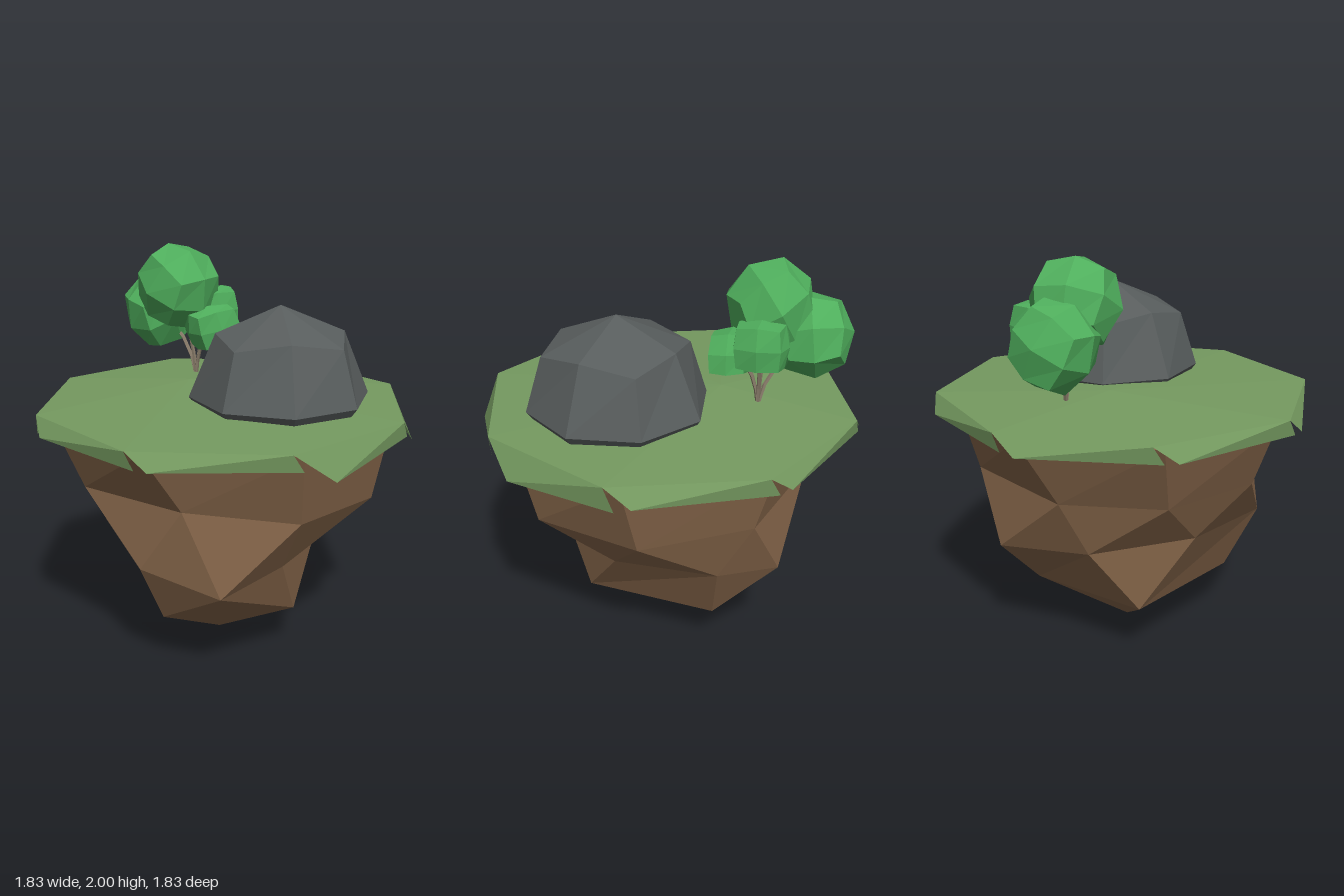
import * as THREE from 'three';

const mat = (color, side = THREE.FrontSide) =>
  new THREE.MeshStandardMaterial({ color, flatShading: true, side });
const EARTH = mat(0x86664a);
const GRASS = mat(0x759a60, THREE.DoubleSide);
const STONE = mat(0x585d5d);
const LEAF = mat(0x4fae5c);
const BARK = mat(0x8a7d6b);

// Builds a flat-shaded mesh from a list of triangles, each three [x, y, z] corners
function facets(name, triangles, material) {
  const geo = new THREE.BufferGeometry();
  geo.setAttribute('position', new THREE.Float32BufferAttribute(triangles.flat(2), 3));
  geo.computeVertexNormals();
  const mesh = new THREE.Mesh(geo, material);
  mesh.name = name;
  return mesh;
}

// Joins rings (top to bottom, corners turning from +x toward +z) and closes both ends
function loft(name, rings, top, bottom, material) {
  const tris = [];
  const n = rings[0].length;
  for (let i = 0; i < n; i++) {
    const j = (i + 1) % n;
    tris.push([top, rings[0][j], rings[0][i]]);
    for (let k = 0; k + 1 < rings.length; k++) {
      const a = rings[k], b = rings[k + 1];
      tris.push([a[i], a[j], b[j]], [a[i], b[j], b[i]]);
    }
    const last = rings[rings.length - 1];
    tris.push([last[i], last[j], bottom]);
  }
  // drop triangles that collapse where ring corners merge
  return facets(name, tris.filter(([a, b, c]) => a !== b && b !== c && a !== c), material);
}

// Hanging rock of earth, narrowing to a four-sided tip
function earth() {
  const rim = [[0.84, 1.24, -0.23], [0.76, 1.24, 0.39], [0.26, 1.24, 0.82], [-0.44, 1.24, 0.73],
    [-0.84, 1.24, 0.2], [-0.76, 1.24, -0.42], [-0.26, 1.24, -0.84], [0.36, 1.24, -0.75]];
  const upper = [[0.72, 0.86, -0.24], [0.7, 0.84, 0.32], [0.28, 0.87, 0.69], [-0.26, 0.94, 0.66],
    [-0.7, 0.91, 0.2], [-0.66, 0.9, -0.3], [-0.29, 0.9, -0.64], [0.35, 0.9, -0.65]];
  const lower = [[0.38, 0.59, -0.48], [0.49, 0.57, 0.03], [0.23, 0.58, 0.51], [-0.09, 0.52, 0.71],
    [-0.45, 0.61, 0.53], [-0.58, 0.66, -0.05], [-0.33, 0.62, -0.5], [0.13, 0.56, -0.69]];
  const a = [0.33, 0.24, 0.29], b = [0.24, 0.25, -0.39];
  const c = [-0.43, 0.29, -0.27], d = [-0.34, 0.29, 0.41];
  const foot = [b, a, a, a, d, c, c, b];
  return loft('earth', [rim, upper, lower, foot], [0, 1.24, 0], [-0.02, 0, 0], EARTH);
}

// Gently raised octagonal lawn with a slanted flap hanging from every edge
function grass() {
  const group = new THREE.Group();
  group.name = 'grass';
  const at = (deg, r, y) => {
    const t = THREE.MathUtils.degToRad(deg);
    return [r * Math.cos(t), y, r * Math.sin(t)];
  };
  const apex = [-0.15, 1.33, -0.22];
  // drops at both ends of each flap, starting at the flap facing +x
  const drops = [[0.115, 0.14], [0.08, 0.15], [0.08, 0.08], [0.08, 0.08],
    [0.08, 0.08], [0.08, 0.09], [0.08, 0.08], [0.09, 0.09]];
  const lawn = [], flaps = [];
  drops.forEach(([d0, d1], i) => {
    const a0 = -12 + i * 45, a1 = a0 + 45;
    const p = at(a0, 0.935, 1.28), q = at(a1, 0.935, 1.28);
    const pl = at(a0 - 3, 0.94, 1.28 - d0);
    const ql = at(a1 - 85 * d1, 0.945, 1.28 - d1); // deeper flaps swing further
    lawn.push([apex, q, p]);
    flaps.push([p, q, ql], [p, ql, pl]);
  });
  group.add(facets('lawn', lawn, GRASS), facets('flaps', flaps, GRASS));
  return group;
}

// Eight-sided boulder
function boulder() {
  const cx = 0.262, cz = 0.13;
  const ring = (y, axisR, diagR, diagY = y) => Array.from({ length: 8 }, (_, i) => {
    const t = i * Math.PI / 4, r = i % 2 ? diagR : axisR;
    return [cx + r * Math.cos(t), i % 2 ? diagY : y, cz + r * Math.sin(t)];
  });
  const rings = [ring(1.64, 0.315, 0.36, 1.6), ring(1.33, 0.445, 0.445), ring(1.27, 0.4, 0.4)];
  return loft('boulder', rings, [cx, 1.77, cz], [cx, 1.27, cz], STONE);
}

// Chunky clump of leaves: a cube rounded toward a sphere (roundness 0 to 1)
function leafClump(center, radii, turn, roundness) {
  const geo = new THREE.BoxGeometry(1.5, 1.5, 1.5, 2, 2, 2);
  const pos = geo.attributes.position;
  const v = new THREE.Vector3();
  for (let i = 0; i < pos.count; i++) {
    v.fromBufferAttribute(pos, i);
    v.lerp(v.clone().normalize(), roundness);
    pos.setXYZ(i, v.x, v.y, v.z);
  }
  const [ax, ay, az] = turn;
  geo.rotateX(ax).rotateY(ay).rotateZ(az).scale(...radii);
  const mesh = new THREE.Mesh(geo, LEAF);
  mesh.name = 'leafClump';
  mesh.position.set(...center);
  return mesh;
}

// Small tree: thin stems fanning out into leaf clumps
function tree() {
  const group = new THREE.Group();
  group.name = 'tree';
  const clumps = [
    [[-0.19, 1.78, -0.445], [0.22, 0.225, 0.22], [0.6, 0.65, 0.1], 0.95],
    [[-0.28, 1.63, -0.63], [0.2, 0.215, 0.2], [0.3, 0.3, 0.5], 0.9],
    [[0.0, 1.65, -0.49], [0.145, 0.14, 0.15], [0.05, 0.2, 0.1], 0.5],
    [[-0.02, 1.58, -0.33], [0.155, 0.13, 0.115], [0.1, 0.3, 0.25], 0.5],
  ];
  const root = new THREE.Vector3(-0.1, 1.29, -0.44);
  clumps.forEach(([center, radii, turn, roundness]) => {
    group.add(leafClump(center, radii, turn, roundness));
    const tip = new THREE.Vector3(...center);
    const bend = root.clone().lerp(tip, 0.12).setY(1.5);
    const stem = new THREE.Mesh(
      new THREE.TubeGeometry(new THREE.QuadraticBezierCurve3(root, bend, tip), 4, 0.01, 5), BARK);
    stem.name = 'stem';
    group.add(stem);
  });
  return group;
}

export function createModel() {
  const model = new THREE.Group();
  model.name = 'floatingIsland';
  model.add(earth(), grass(), boulder(), tree());
  return model;
}
